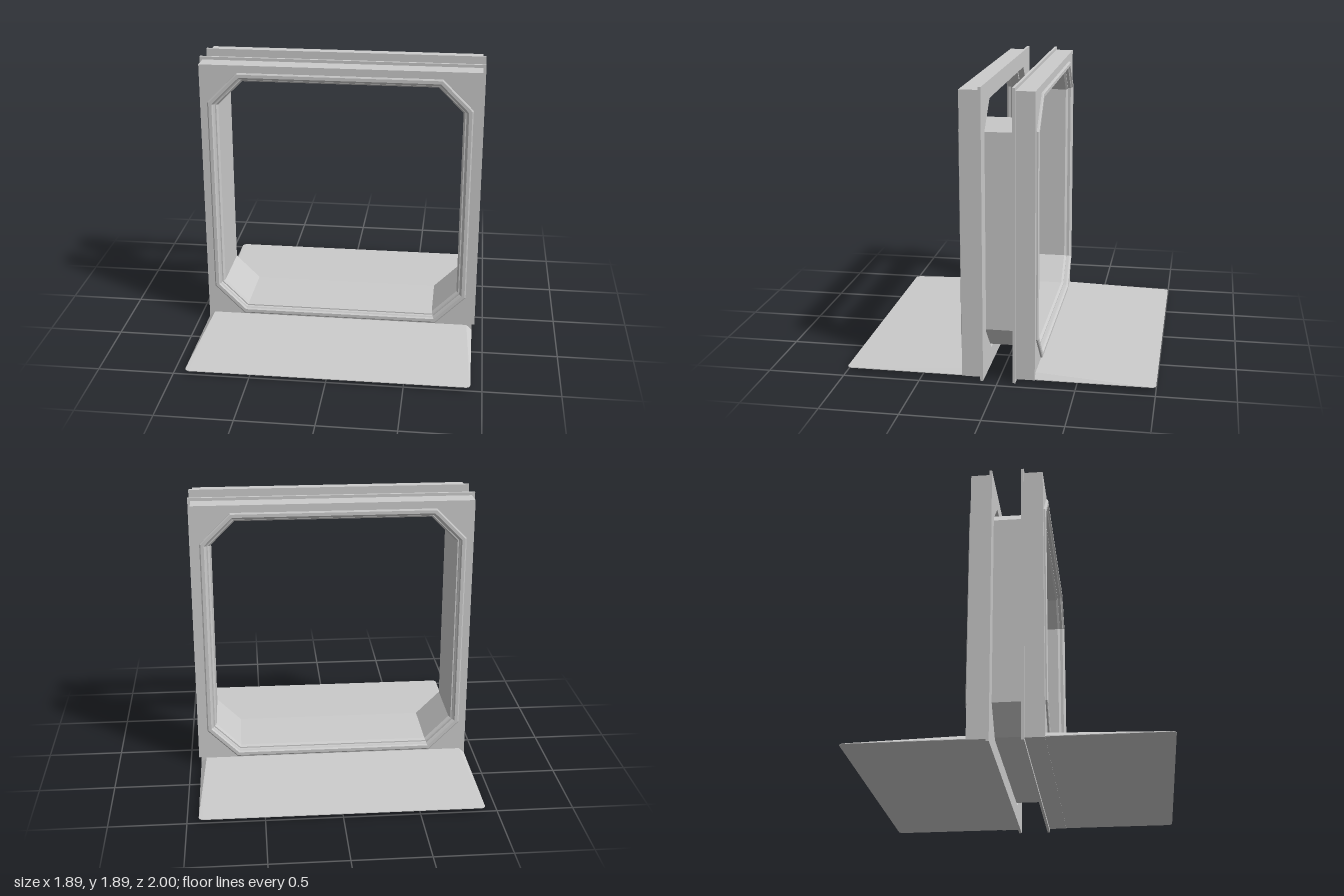
import * as THREE from 'three';
import { ConvexGeometry } from 'three/addons/geometries/ConvexGeometry.js';

const CY = 0.945; // height of the frame centre
const mat = new THREE.MeshStandardMaterial({ color: 0xcccccc, flatShading: true });
const thin = new THREE.MeshStandardMaterial({ color: 0xcccccc, flatShading: true, side: THREE.DoubleSide });

// Corner-cut square of half-width h, counter-clockwise; the cut keeps offsets parallel
function octagon(h) {
  const e = h - (0.165 + (h - 0.81) * 0.586);
  return [[h, -e], [h, e], [e, h], [-e, h], [-h, e], [-h, -e], [-e, -h], [e, -h]]
    .map(([x, y]) => new THREE.Vector2(x, y));
}

// Square plate with a corner-cut opening, from depth z0 to z1
function plate(name, half, hole, z0, z1) {
  const shape = new THREE.Shape([[-1, -1], [1, -1], [1, 1], [-1, 1]]
    .map(([x, y]) => new THREE.Vector2(x * half, y * half)));
  shape.holes.push(new THREE.Path(octagon(hole).reverse()));
  const geo = new THREE.ExtrudeGeometry(shape, { depth: z1 - z0, bevelEnabled: false });
  const mesh = new THREE.Mesh(geo.translate(0, CY, z0), mat);
  mesh.name = name;
  return mesh;
}

// Strip surface through rows of points; each row has the same length
function surface(name, rows, closed) {
  const n = rows[0].length, idx = [];
  for (let r = 0; r < rows.length - 1; r++) {
    for (let i = 0; i < (closed ? n : n - 1); i++) {
      const a = r * n + i, b = r * n + (i + 1) % n;
      idx.push(a, b, b + n, a, b + n, a + n);
    }
  }
  const geo = new THREE.BufferGeometry();
  geo.setAttribute('position', new THREE.Float32BufferAttribute(rows.flat(2), 3));
  geo.setIndex(idx);
  const flat = geo.toNonIndexed();
  flat.computeVertexNormals();
  const mesh = new THREE.Mesh(flat, thin);
  mesh.name = name;
  return mesh;
}

// Moulding of [half-width, z] profile points swept round the opening
function moulding(name, profile) {
  return surface(name, profile.map(([h, z]) =>
    octagon(h).map(p => [p.x, p.y + CY, z])), true);
}

// One half of the gate: flange, frame, mouldings and ramp
function gateSide(name) {
  const g = new THREE.Group();
  g.name = name;
  g.add(plate('flange', 0.945, 0.83, 0.095, 0.113));
  g.add(plate('frame', 0.925, 0.83, 0.113, 0.235));
  g.add(moulding('frontTrim', [
    [0.875, 0.235], [0.875, 0.245], [0.867, 0.25], [0.846, 0.25], [0.838, 0.24], [0.83, 0.235],
  ]));
  g.add(moulding('innerLip', [
    [0.83, 0.215], [0.822, 0.215], [0.81, 0.2], [0.81, 0.14], [0.83, 0.14],
  ]));
  // Wedge ramp with clipped outer corners and sloping sides
  const pts = [];
  for (const s of [-1, 1]) {
    for (const y of [0.022, 0.026]) {
      pts.push(new THREE.Vector3(s * 0.925, y, 0.235), new THREE.Vector3(s * 0.925, y, 0.975),
        new THREE.Vector3(s * 0.917, y, 0.992), new THREE.Vector3(s * 0.9, y, 1));
    }
    pts.push(new THREE.Vector3(s * 0.888, 0.06, 0.235));
  }
  const ramp = new THREE.Mesh(new ConvexGeometry(pts), mat);
  ramp.name = 'ramp';
  g.add(ramp);
  return g;
}

export function createModel() {
  const model = new THREE.Group();
  model.name = 'gate';
  const front = gateSide('frontSide');
  const back = gateSide('backSide');
  back.rotation.y = Math.PI;
  model.add(front, back);

  // Thin channel joining the two sides, open along the top
  const half = [[0.73, 1.672], [0.81, 1.592], [0.81, 0.3], [0.645, 0.135]];
  const path = [...half, ...half.map(([x, y]) => [-x, y]).reverse()];
  model.add(surface('channel', [-0.14, 0.14].map(z => path.map(([x, y]) => [x, y, z])), false));
  return model;
}
